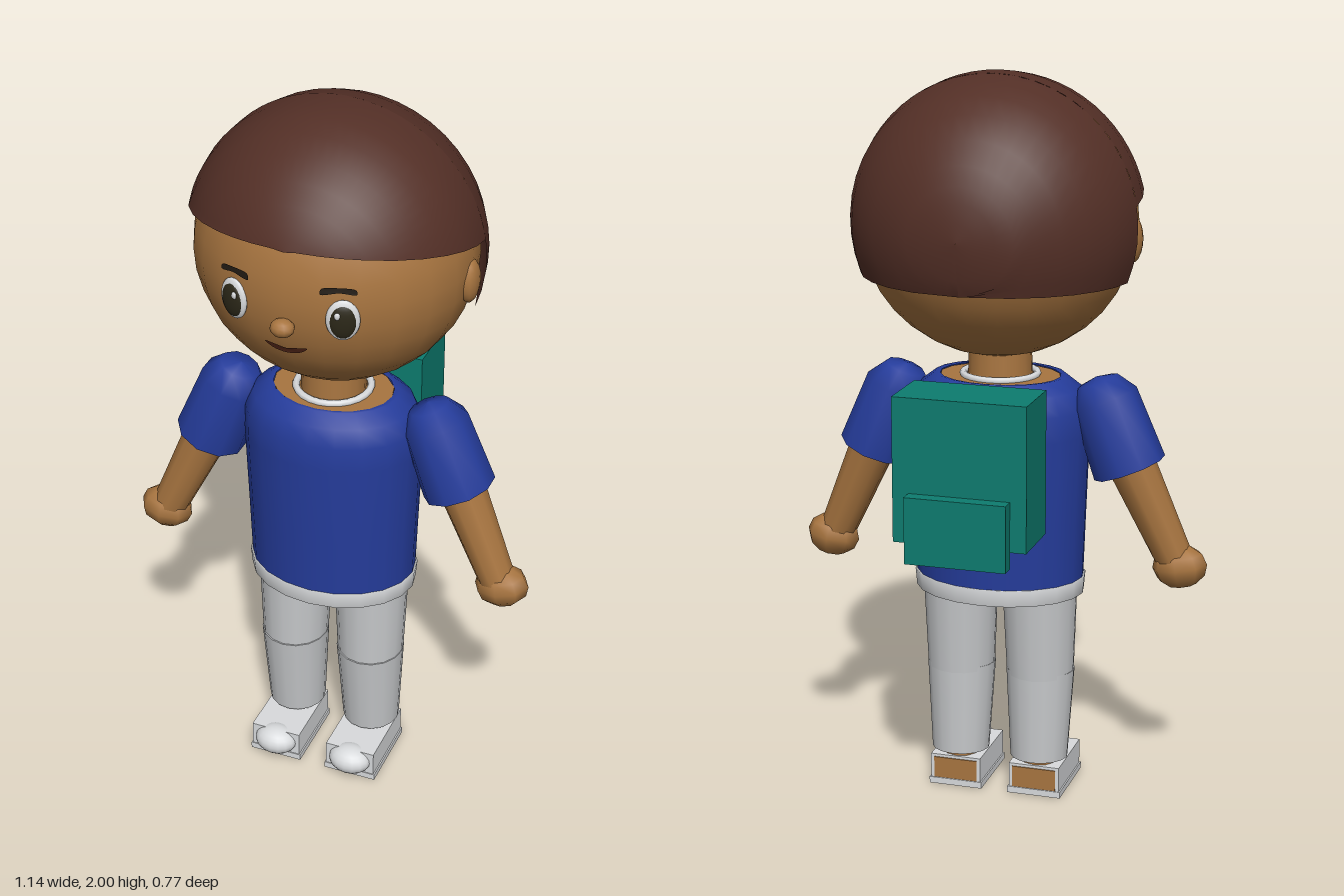
import * as THREE from 'three';

const mat = (name, color, side = THREE.FrontSide) => {
  const m = new THREE.MeshStandardMaterial({ color, side });
  m.name = name;
  return m;
};

export function createModel() {
  const D = THREE.DoubleSide;
  const skin = mat('skin', 0xa87540);
  const hairMat = mat('hair brown', 0x532f26, D);
  const blue = mat('shirt blue', 0x253c9b, D);
  const grey = mat('trouser grey', 0xc6c8ca);
  const white = mat('white', 0xd9dbdd, D);
  const teal = mat('backpack teal', 0x0d7c6f);
  const dark = mat('pupil dark', 0x2b2718);
  const browMat = mat('brow black', 0x211a13, D);
  const mouthMat = mat('mouth brown', 0x4f2417, D);

  const root = new THREE.Group();
  const add = (name, geo, material, x = 0, y = 0, z = 0, parent = root) => {
    const m = new THREE.Mesh(geo, material);
    m.name = name;
    m.position.set(x, y, z);
    parent.add(m);
    return m;
  };
  const ball = (rx, ry, rz, w = 16, h = 12) => new THREE.SphereGeometry(1, w, h).scale(rx, ry, rz);
  const lathe = (pts, sides, sz = 1) =>
    new THREE.LatheGeometry(pts.map(p => new THREE.Vector2(...p)), sides).scale(1, 1, sz);

  // Tapered cylinder between two points
  const limb = (name, a, b, ra, rb, material, sides, parent) => {
    const A = new THREE.Vector3(...a), B = new THREE.Vector3(...b);
    const dir = A.clone().sub(B);
    const m = add(name, new THREE.CylinderGeometry(ra, rb, dir.length(), sides), material, 0, 0, 0, parent);
    m.position.copy(A).add(B).multiplyScalar(0.5);
    m.quaternion.setFromUnitVectors(new THREE.Vector3(0, 1, 0), dir.normalize());
    return m;
  };

  // Head
  const HY = 1.61, hx = 0.372, hy = 0.36, hz = 0.345;
  const faceZ = (x, y) => hz * Math.sqrt(Math.max(0, 1 - (x / hx) ** 2 - ((y - HY) / hy) ** 2));
  add('head', ball(hx, hy, hz, 24, 18), skin, 0, HY, 0);
  add('nose', ball(0.032, 0.024, 0.028, 12, 8), skin, 0, 1.547, 0.355);

  // Hair shell: arcs stacked along z, clipped by a lower hairline
  const hairShell = (zs, hairline) => {
    const rx = 0.392, ry = 0.39, rz = 0.366, n = 28, pos = [], idx = [];
    zs.forEach((z, j) => {
      const r = Math.sqrt(Math.max(1e-6, 1 - (z / rz) ** 2));
      const a0 = Math.asin(THREE.MathUtils.clamp((hairline(z) - HY) / (ry * r), -1, 1));
      for (let i = 0; i <= n; i++) {
        const a = a0 + (Math.PI - 2 * a0) * i / n;
        pos.push(rx * r * Math.cos(a), HY + ry * r * Math.sin(a), z);
        if (j && i < n) {
          const q = j * (n + 1) + i, p = q - n - 1;
          idx.push(p, p + 1, q, p + 1, q + 1, q);
        }
      }
    });
    const g = new THREE.BufferGeometry();
    g.setAttribute('position', new THREE.Float32BufferAttribute(pos, 3));
    g.setIndex(idx);
    g.computeVertexNormals();
    return g;
  };
  add('backHair', hairShell(
    [-0.366, -0.363, -0.354, -0.3417, -0.32, -0.28, -0.23, -0.17, -0.11, -0.045], () => 1.47), hairMat);
  add('frontHair', hairShell(
    [-0.045, 0.02, 0.08, 0.14, 0.2, 0.25, 0.29, 0.315, 0.33, 0.339, 0.3415],
    z => 1.67 + (z + 0.045) * 0.218), hairMat);

  // Flat painted outline laid over the curved face
  const decal = (name, pts, material, lift) => {
    const curve = new THREE.CatmullRomCurve3(pts.map(p => new THREE.Vector3(p[0], p[1], 0)), true);
    const shape = new THREE.Shape(curve.getPoints(28).map(p => new THREE.Vector2(p.x, p.y)));
    const g = new THREE.ShapeGeometry(shape), p = g.attributes.position;
    for (let i = 0; i < p.count; i++) p.setZ(i, faceZ(p.getX(i), p.getY(i)) + lift);
    g.computeVertexNormals();
    add(name, g, material);
  };
  decal('mouth', [[-0.057, 1.487], [-0.025, 1.483], [0, 1.478], [0.025, 1.483], [0.057, 1.487],
    [0.035, 1.468], [0, 1.461], [-0.035, 1.468]], mouthMat, 0.012);

  for (const s of [1, -1]) {
    const side = s > 0 ? 'left' : 'right';

    // Ear, brow and eye
    add(side + 'Ear', ball(0.025, 0.06, 0.043, 12, 10), skin, s * 0.364, 1.575, 0.006);
    decal(side + 'Brow', [[s * 0.095, 1.655], [s * 0.098, 1.67], [s * 0.14, 1.673], [s * 0.177, 1.667],
      [s * 0.18, 1.655], [s * 0.14, 1.66]], browMat, 0.012);
    const eye = new THREE.Group();
    eye.name = side + 'Eye';
    eye.position.set(s * 0.145, 1.58, faceZ(0.145, 1.58));
    eye.rotation.y = s * 0.36;
    root.add(eye);
    add('eyeWhite', ball(0.043, 0.056, 0.014), white, 0, 0, 0, eye);
    add('pupil', ball(0.034, 0.046, 0.012), dark, 0, -0.002, 0.006, eye);
    add('eyeGlint', ball(0.008, 0.01, 0.005, 8, 6), white, -s * 0.014, 0.018, 0.015, eye);

    // Arm: domed sleeve, forearm and hand
    const arm = new THREE.Group();
    arm.name = side + 'Arm';
    root.add(arm);
    const sleeve = add('sleeve', lathe([[0.1, 0], [0.091, 0.2], [0.055, 0.25], [0, 0.262]], 10),
      blue, s * 0.36, 0.955, 0.022, arm);
    sleeve.rotation.z = s * 0.37;
    limb('forearm', [s * 0.335, 1.03, 0.02], [s * 0.485, 0.7, 0.045], 0.068, 0.05, skin, 10, arm);
    const hand = add('hand', ball(0.076, 0.06, 0.06, 8, 6), skin, s * 0.497, 0.685, 0.044, arm);
    hand.rotation.z = s * 0.15;

    // Leg: thigh, shin and bare ankle
    const leg = new THREE.Group();
    leg.name = side + 'Leg';
    root.add(leg);
    limb('thigh', [s * 0.113, 0.62, 0.02], [s * 0.114, 0.352, 0.026], 0.104, 0.093, grey, 16, leg);
    limb('shin', [s * 0.114, 0.36, 0.028], [s * 0.114, 0.105, 0.016], 0.095, 0.08, grey, 16, leg);
    limb('ankle', [s * 0.114, 0.14, 0.02], [s * 0.114, 0.07, 0.02], 0.052, 0.052, skin, 10, leg);

    // Shoe with rounded toe, bare heel and bare underside
    const shoe = new THREE.Group();
    shoe.name = side + 'Shoe';
    shoe.position.x = s * 0.114;
    root.add(shoe);
    add('shoeBody', new THREE.BoxGeometry(0.144, 0.086, 0.22), white, 0, 0.047, 0.073, shoe);
    add('shoeRim', new THREE.BoxGeometry(0.152, 0.018, 0.225), white, 0, 0.011, 0.073, shoe);
    add('toeCap', ball(0.062, 0.041, 0.05), white, 0, 0.055, 0.178, shoe);
    add('heel', new THREE.BoxGeometry(0.124, 0.06, 0.004), skin, 0, 0.052, -0.038, shoe);
    add('underside', new THREE.BoxGeometry(0.128, 0.004, 0.2), skin, 0, 0.002, 0.073, shoe);
  }

  // Neck, body inside the shirt, and collar ring
  const bodyZ = 0.02, flat = 0.78;
  add('neck', new THREE.CylinderGeometry(0.083, 0.088, 0.14, 16), skin, 0, 1.24, bodyZ);
  add('body', new THREE.CylinderGeometry(0.165, 0.212, 0.568, 16).scale(1, 1, flat), skin, 0, 0.904, bodyZ);
  add('collarRing', new THREE.TorusGeometry(0.1, 0.01, 8, 24).rotateX(Math.PI / 2), white, 0, 1.192, bodyZ);

  // Shirt and hem
  add('shirt', lathe([[0.232, 0.63], [0.238, 0.8], [0.247, 1.04], [0.244, 1.11], [0.222, 1.16],
    [0.18, 1.192], [0.165, 1.19]], 20, flat), blue, 0, 0, bodyZ);
  add('shirtHem', lathe([[0.226, 0.6], [0.234, 0.59], [0.238, 0.635], [0.23, 0.636]], 20, flat),
    white, 0, 0, bodyZ);

  // Backpack with front pocket
  add('backpack', new THREE.BoxGeometry(0.362, 0.39, 0.182), teal, 0, 1.006, -0.256);
  add('backpackPocket', new THREE.BoxGeometry(0.274, 0.18, 0.04), teal, 0, 0.856, -0.366);

  return root;
}
